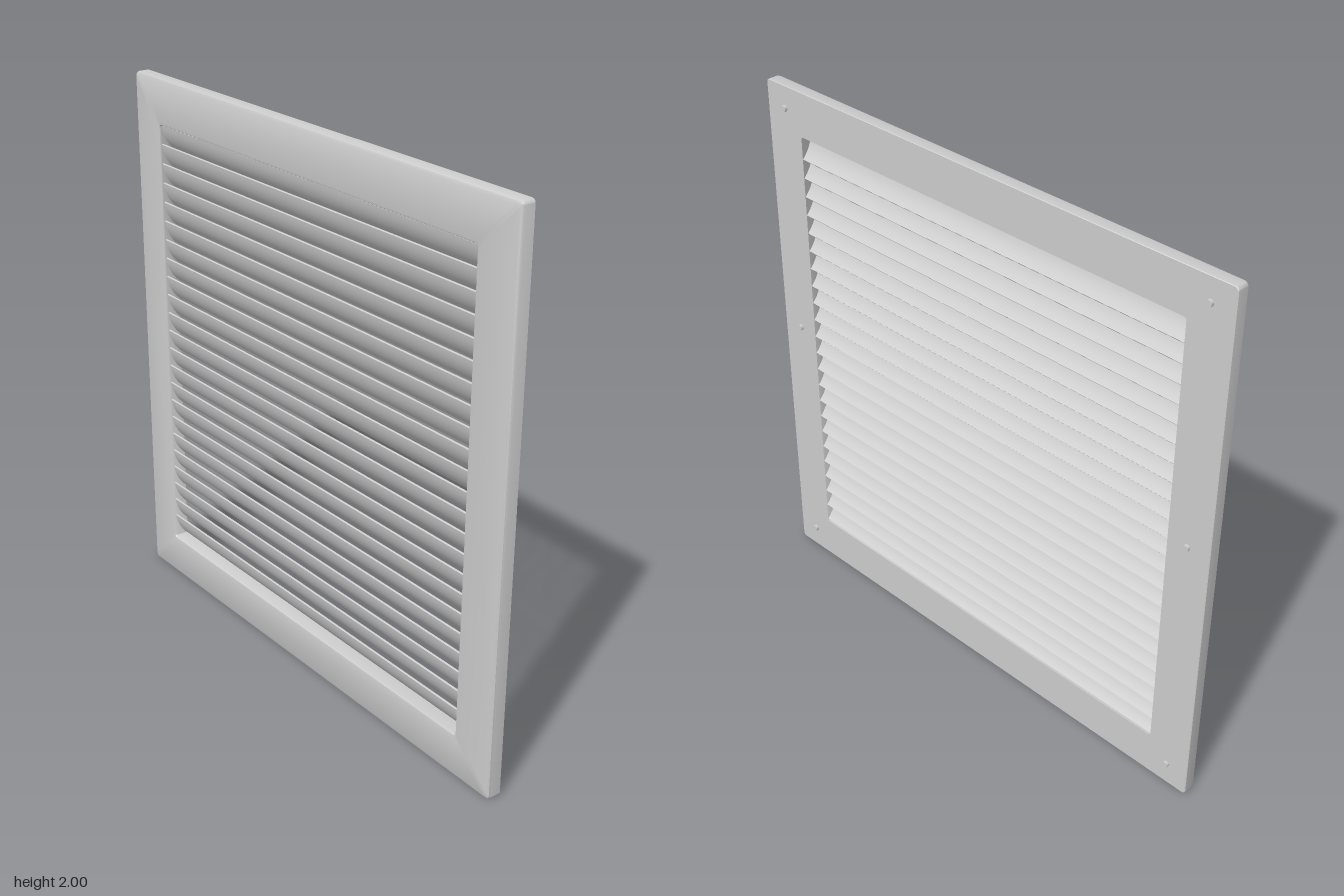
import * as THREE from 'three';
import { toCreasedNormals } from 'three/addons/utils/BufferGeometryUtils.js';

const material = new THREE.MeshStandardMaterial({ color: 0xcccccc });
const CORNER_STEPS = 4;

function addMesh(group, name, geometry, creased = true) {
  const mesh = new THREE.Mesh(creased ? toCreasedNormals(geometry, 0.6) : geometry, material);
  mesh.name = name;
  group.add(mesh);
  return mesh;
}

// Square outline with rounded corners, counter-clockwise
function roundedSquare(half, radius) {
  const points = [];
  for (let c = 0; c < 4; c++) {
    const mid = Math.PI / 4 + c * Math.PI / 2;
    const cx = Math.sign(Math.cos(mid)) * (half - radius);
    const cy = Math.sign(Math.sin(mid)) * (half - radius);
    for (let i = 0; i <= CORNER_STEPS; i++) {
      const a = (c + i / CORNER_STEPS) * Math.PI / 2;
      points.push([cx + radius * Math.cos(a), cy + radius * Math.sin(a)]);
    }
  }
  return points;
}

// Sweeps a closed [half size, z, corner radius] section around the square
function frameGeometry(section) {
  const positions = [], index = [];
  const n = 4 * (CORNER_STEPS + 1), m = section.length;
  for (const [half, z, radius] of section)
    for (const [x, y] of roundedSquare(half, radius)) positions.push(x, y + 1, z);
  for (let s = 0; s < m; s++) {
    for (let i = 0; i < n; i++) {
      const j = (i + 1) % n, t = (s + 1) % m;
      const a = s * n + i, b = s * n + j, c = t * n + j, d = t * n + i;
      index.push(a, b, c, a, c, d);
    }
  }
  const geometry = new THREE.BufferGeometry();
  geometry.setAttribute('position', new THREE.Float32BufferAttribute(positions, 3));
  geometry.setIndex(index);
  geometry.computeVertexNormals();
  return geometry;
}

// Bowed blade: top edge at the front, bottom edge at the back
function slatGeometry(width) {
  const curve = new THREE.QuadraticBezierCurve(
    new THREE.Vector2(-0.027, -0.003), new THREE.Vector2(-0.019, -0.056), new THREE.Vector2(0.018, -0.092));
  const front = curve.getPoints(8);
  const back = front.map((p, i) => {
    const t = curve.getTangent(i / 8);
    return new THREE.Vector2(p.x - t.y * 0.008, p.y + t.x * 0.008);
  });
  const lip = new THREE.Vector2(-0.023, 0);
  const shape = new THREE.Shape([...front, ...back.reverse(), lip]);
  const geometry = new THREE.ExtrudeGeometry(shape, { depth: width, bevelEnabled: false });
  geometry.translate(0, 0, -width / 2);
  geometry.rotateY(Math.PI / 2);
  return geometry;
}

export function createModel() {
  const model = new THREE.Group();
  model.name = 'ventGrille';

  // Frame, from the back outer edge round the front to the opening
  addMesh(model, 'frame', frameGeometry([
    [0.998, -0.024, 0.012],
    [1.0, -0.022, 0.014],
    [1.0, 0.016, 0.014],
    [0.997, 0.024, 0.014],
    [0.988, 0.029, 0.012],
    [0.845, 0.034, 0.016],
    [0.838, 0.032, 0.012],
    [0.835, 0.027, 0.01],
    [0.835, -0.024, 0.01],
  ]));

  // Louvre slats
  const slats = new THREE.Group();
  slats.name = 'slats';
  model.add(slats);
  const slat = toCreasedNormals(slatGeometry(1.676), 0.6);
  for (let i = 0; i < 23; i++)
    addMesh(slats, 'slat', slat, false).position.y = 0.262 + i * 0.0716;

  // Mounting pins on the back
  const pins = new THREE.Group();
  pins.name = 'mountingPins';
  model.add(pins);
  const pin = toCreasedNormals(new THREE.CylinderGeometry(0.012, 0.012, 0.014, 16).rotateX(Math.PI / 2), 0.6);
  for (const x of [-0.912, 0.912])
    for (const y of [0.087, 1.043, 1.917])
      addMesh(pins, 'mountingPin', pin, false).position.set(x, y, -0.028);

  return model;
}
